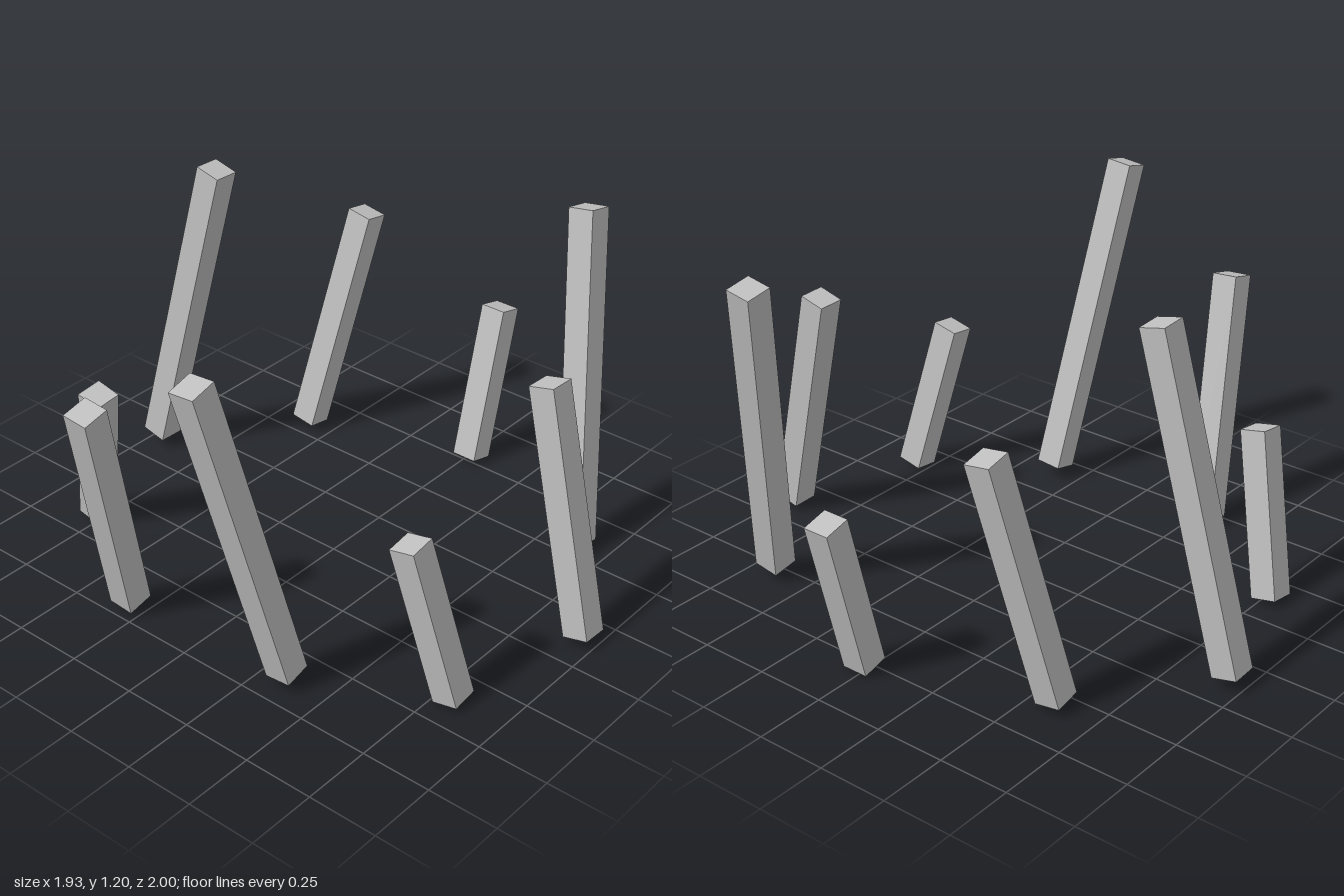
import * as THREE from 'three';

const WIDTH = 0.095;
// length and centre height of the short, medium and tall pillars
const SIZES = {
  short: { length: 0.585, y: 0.303 },
  medium: { length: 0.878, y: 0.461 },
  tall: { length: 1.172, y: 0.616 },
};

// ring of leaning pillars: size, centre of foot [x, z], centre of head [x, z]
const PILLARS = [
  ['short', [0.772, 0.017], [0.915, 0.017]],
  ['tall', [0.537, 0.647], [0.757, 0.46]],
  ['medium', [0.131, 0.95], [0.168, 0.735]],
  ['short', [-0.378, 0.808], [-0.452, 0.682]],
  ['tall', [-0.645, 0.35], [-0.92, 0.253]],
  ['medium', [-0.683, -0.308], [-0.886, -0.237]],
  ['short', [-0.378, -0.775], [-0.452, -0.652]],
  ['tall', [0.128, -0.952], [0.177, -0.672]],
  ['medium', [0.567, -0.595], [0.728, -0.457]],
];

export function createModel() {
  const model = new THREE.Group();
  model.name = 'pillarRing';
  const stone = new THREE.MeshStandardMaterial({ color: 0xbfbfbf });
  stone.name = 'grey stone';

  PILLARS.forEach(([size, foot, head], i) => {
    const { length, y } = SIZES[size];
    const dx = head[0] - foot[0];
    const dz = head[1] - foot[1];
    const dy = Math.sqrt(length * length - dx * dx - dz * dz);
    const pillar = new THREE.Mesh(new THREE.BoxGeometry(WIDTH, length, WIDTH), stone);
    pillar.name = `${size}Pillar${i + 1}`;
    pillar.position.set((foot[0] + head[0]) / 2, y, (foot[1] + head[1]) / 2);
    // lean without turning about the pillar's own axis
    pillar.rotation.set(Math.atan2(dz, dy), 0, Math.asin(-dx / length));
    model.add(pillar);
  });
  return model;
}
